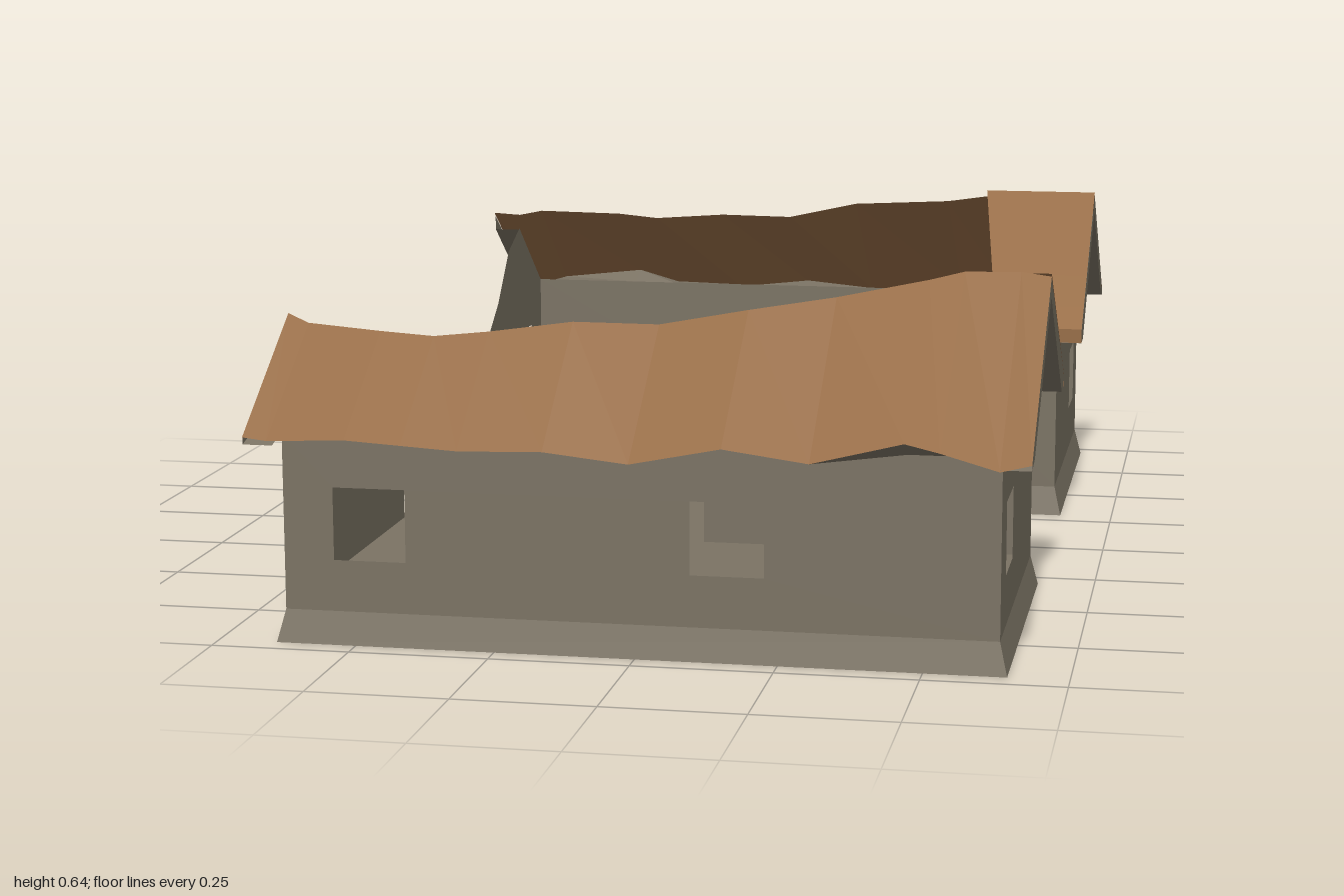
import * as THREE from 'three';

const stone = new THREE.MeshStandardMaterial({ name: 'weathered stone', color: 0x7b7364, side: THREE.DoubleSide });
const timber = new THREE.MeshStandardMaterial({ name: 'brown roofing', color: 0x976d47, side: THREE.DoubleSide });

const HALF = 0.63, OUT = 0.945, IN = 0.312, RIDGE = 0.628, EAVE = 0.375;
const FLOOR = 0.058, SILL = 0.15, HEAD = 0.28, ROOF_END = 0.683;

function add(group, name, geometry, material) {
  const mesh = new THREE.Mesh(geometry, material);
  mesh.name = name;
  group.add(mesh);
}

// Flat-faced ribbon joining two polylines with the same number of points
function strip(a, b) {
  const pos = [];
  for (let i = 0; i < a.length - 1; i++) {
    pos.push(...a[i], ...b[i], ...b[i + 1], ...a[i], ...b[i + 1], ...a[i + 1]);
  }
  const g = new THREE.BufferGeometry();
  g.setAttribute('position', new THREE.Float32BufferAttribute(pos, 3));
  g.computeVertexNormals();
  return g;
}

// Thin wall: top outline from left to right, with window openings [from, to]
function wallGeometry(top, windows) {
  const first = top[0][0], last = top[top.length - 1][0];
  const shape = new THREE.Shape([[first, FLOOR], ...top, [last, FLOOR]].map(p => new THREE.Vector2(...p)));
  for (const [a, b] of windows) {
    shape.holes.push(new THREE.Path([[a, SILL], [b, SILL], [b, HEAD], [a, HEAD]].map(p => new THREE.Vector2(...p))));
  }
  return new THREE.ShapeGeometry(shape);
}
const wallAlongX = (top, windows, z) => wallGeometry(top, windows).translate(0, 0, z);
const wallAlongZ = (top, windows, x) => wallGeometry(top, windows).rotateY(-Math.PI / 2).translate(x, 0, 0);

// Height of the courtyard roof slopes at a given z
const roofY = z => 0.643 - 0.66 * (RIDGE - Math.abs(z));

export function createModel() {
  const model = new THREE.Group();
  model.name = 'ruinedHouse';

  // U-shaped footprint; the last two values are the outward directions
  const plan = [
    [-HALF, OUT, -1, 1], [HALF, OUT, 1, 1], [HALF, IN, 1, -1], [0, IN, 1, -1],
    [0, -IN, 1, 1], [HALF, -IN, 1, 1], [HALF, -OUT, 1, -1], [-HALF, -OUT, -1, -1],
  ];
  const ring = (y, d) => [...plan, plan[0]].map(([x, z, ox, oz]) => [x + ox * d, y, z + oz * d]);
  add(model, 'plinth', strip(ring(0, 0.014), ring(FLOOR, 0)), stone);

  // Raised floor, hollow below
  const floorShape = new THREE.Shape(plan.map(([x, z]) => new THREE.Vector2(x, -z)));
  add(model, 'floor', new THREE.ShapeGeometry(floorShape).rotateX(-Math.PI / 2).translate(0, FLOOR, 0), stone);

  // Long outer walls
  const level = [[-HALF, EAVE], [HALF, EAVE]];
  add(model, 'frontWall', wallAlongX(level, [[-0.54, -0.41], [0.095, 0.225]], OUT), stone);
  add(model, 'backWall', wallAlongX(level, [[-0.225, -0.095], [0.41, 0.54]], -OUT), stone);

  // Intact gables on the left side
  add(model, 'frontGable', wallAlongZ([[IN, EAVE], [RIDGE, 0.605], [OUT, EAVE]], [[0.72, 0.85]], HALF), stone);
  add(model, 'backGable', wallAlongZ([[-OUT, EAVE], [-RIDGE, 0.605], [-IN, EAVE]], [[-0.85, -0.72]], HALF), stone);

  // Collapsed right-hand wall with a broken doorway
  add(model, 'brokenSideWall', wallAlongZ([
    [-OUT, EAVE], [-0.75, 0.52], [-0.65, 0.48], [-0.55, 0.375], [-0.42, 0.285], [-IN, 0.245],
    [-0.22, 0.205], [-0.09, 0.185], [0, 0.175], [0.085, 0.19], [0.085, FLOOR], [0.21, FLOOR],
    [0.21, 0.225], [IN, 0.265], [0.44, 0.33], [0.55, 0.395], [0.65, 0.455], [0.75, 0.515], [OUT, EAVE],
  ], [[-0.85, -0.72], [0.72, 0.85]], -HALF), stone);

  // Broken walls around the courtyard
  add(model, 'courtyardWall', wallAlongZ([
    [-IN, 0.25], [-0.22, 0.24], [-0.22, SILL], [-0.09, SILL], [-0.09, 0.222],
    [0, 0.21], [0.1, 0.225], [0.19, 0.232], [0.26, 0.255], [IN, 0.275],
  ], [], 0), stone);
  add(model, 'frontCourtyardWall', wallAlongX([
    [0, 0.278], [0.2, 0.285], [0.31, 0.288], [0.4, 0.305], [0.5, 0.335], [0.54, EAVE], [HALF, EAVE],
  ], [[0.415, 0.54]], IN), stone);
  add(model, 'backCourtyardWall', wallAlongX([
    [0, 0.25], [0.1, 0.255], [0.1, FLOOR], [0.225, FLOOR], [0.225, 0.285], [0.36, EAVE], [HALF, EAVE],
  ], [[0.415, 0.54]], -IN), stone);

  // Outer roof slopes: [x, broken edge y, broken edge z, eave y]
  const slopes = {
    front: [1, [
      [-ROOF_END, 0.552, 0.735, 0.375], [-0.64, 0.538, 0.752, 0.37], [-0.5, 0.53, 0.77, 0.376],
      [-0.4, 0.525, 0.778, 0.37], [-0.3, 0.535, 0.772, 0.364], [-0.15, 0.555, 0.76, 0.368],
      [0, 0.55, 0.732, 0.352], [0.16, 0.58, 0.73, 0.384], [0.31, 0.6, 0.685, 0.364],
      [0.47, 0.63, 0.65, 0.404], [0.53, 0.643, RIDGE, 0.39], [0.63, 0.645, RIDGE, 0.362], [ROOF_END, 0.638, RIDGE, 0.375],
    ]],
    back: [-1, [
      [-ROOF_END, 0.557, 0.73, 0.375], [-0.63, 0.55, 0.757, 0.36], [-0.58, 0.56, 0.762, 0.375],
      [-0.4, 0.557, 0.764, 0.395], [-0.31, 0.55, 0.755, 0.37], [-0.16, 0.56, 0.764, 0.362],
      [0, 0.563, 0.725, 0.38], [0.15, 0.597, 0.715, 0.365], [0.36, 0.612, 0.675, 0.372],
      [0.45, 0.63, RIDGE, 0.395], [0.57, 0.638, RIDGE, 0.368], [0.63, 0.64, RIDGE, 0.362], [ROOF_END, 0.635, RIDGE, 0.378],
    ]],
  };
  for (const [side, [s, rows]] of Object.entries(slopes)) {
    const upper = rows.map(([x, y, z]) => [x, y, s * z]);
    const eave = rows.map(([x, , , y]) => [x, y, s]);
    add(model, side + 'RoofSlope', strip(upper, eave), timber);
    add(model, side + 'Soffit', strip(eave, eave.map(([x]) => [x, EAVE, s * OUT])), stone);
  }

  // Surviving roof pieces over the courtyard side: broken edge as [x, z]
  const pieces = {
    front: [[0.52, RIDGE], [0.514, 0.5], [0.52, 0.36], [0.515, 0.257]],
    back: [[0.45, -RIDGE], [0.485, -0.4], [0.4, -0.32], [0.36, -0.262]],
  };
  for (const [side, edge] of Object.entries(pieces)) {
    const broken = edge.map(([x, z]) => [x, roofY(z), z]);
    add(model, side + 'InnerRoof', strip(broken, edge.map(([, z]) => [ROOF_END, roofY(z), z])), timber);
    const [x, z] = edge[3];
    const eaveLine = y => [[x, y, z], [ROOF_END, y, z]];
    const wallLine = [[x, EAVE, Math.sign(z) * IN], [ROOF_END, EAVE, Math.sign(z) * IN]];
    add(model, side + 'InnerFascia', strip(eaveLine(roofY(z)), eaveLine(0.373)), timber);
    add(model, side + 'InnerSoffit', strip(eaveLine(0.373), wallLine), stone);
  }

  // Verge boards and their undersides at the roof ends: [z, top y, depth]
  function verge(name, x, wallX, line) {
    const top = line.map(([z, y]) => [x, y, z]);
    const low = line.map(([z, y, drop]) => [x, y - drop, z]);
    add(model, name, strip(top, low), stone);
    add(model, name + 'Underside', strip(low, low.map(([, y, z]) => [wallX, y, z])), stone);
  }
  for (const s of [1, -1]) {
    const side = s > 0 ? 'front' : 'back';
    verge(side + 'Verge', ROOF_END, HALF, [[s * 0.998, 0.375, 0.01], [s * OUT, 0.415, 0.04], [s * RIDGE, 0.637, 0.035],
      [s * IN, 0.432, 0.057], [s * 0.26, 0.398, 0.025]]);
    verge(side + 'BrokenVerge', -ROOF_END, -HALF, [[s * 0.998, 0.372, 0.01], [s * OUT, 0.41, 0.035], [s * 0.74, 0.548, 0.03]]);
  }

  return model;
}
